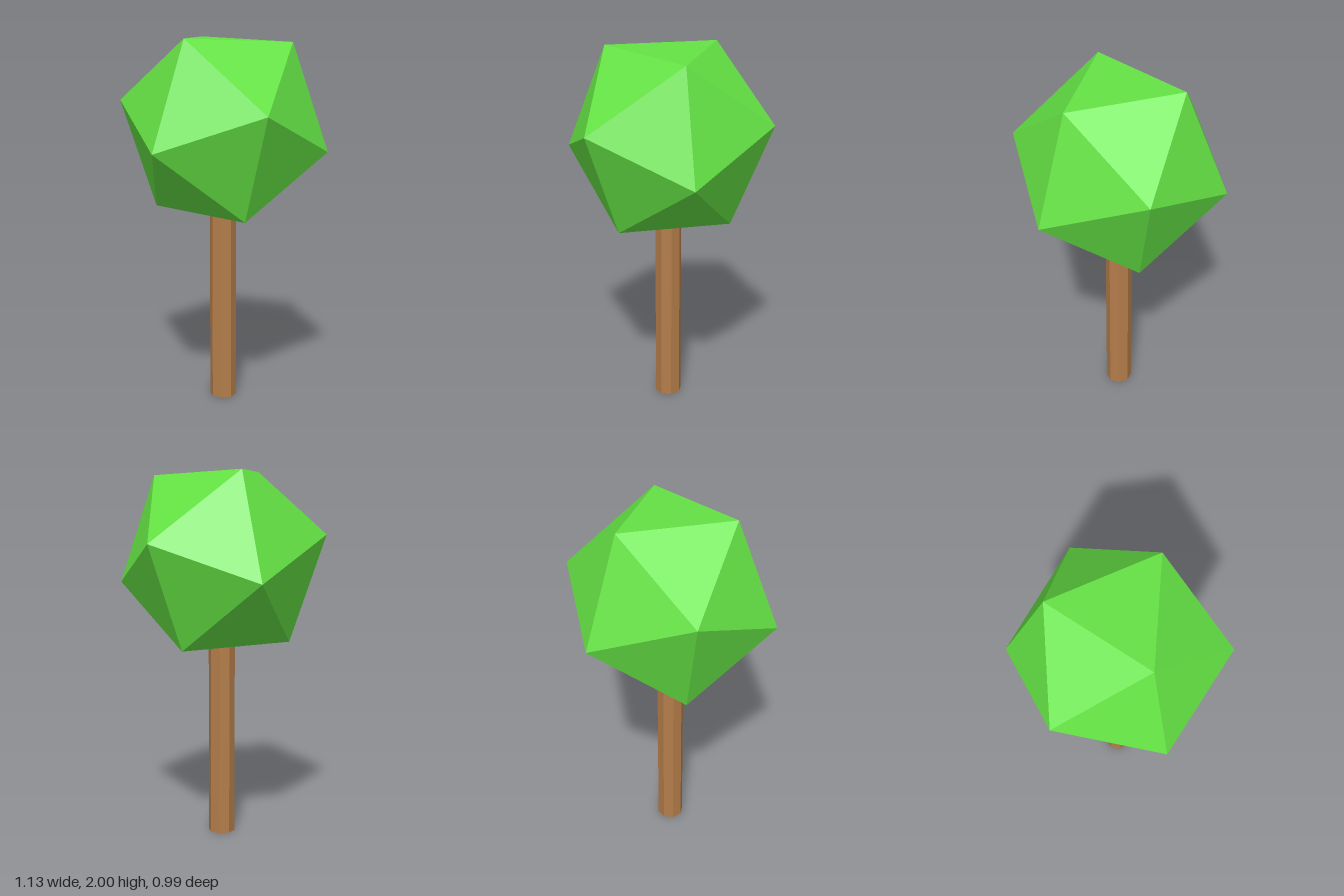
import * as THREE from 'three';

export function createModel() {
  const tree = new THREE.Group();
  tree.name = 'tree';

  const bark = new THREE.MeshStandardMaterial({ color: 0xb47d4a, flatShading: true });
  bark.name = 'bark brown';
  const leaves = new THREE.MeshStandardMaterial({ color: 0x64e244, flatShading: true });
  leaves.name = 'leaf green';

  // Straight eight-sided trunk, ending just inside the foliage
  const trunkHeight = 1.1;
  const trunk = new THREE.Mesh(new THREE.CylinderGeometry(0.073, 0.073, trunkHeight, 8), bark);
  trunk.name = 'trunk';
  trunk.position.y = trunkHeight / 2;
  tree.add(trunk);

  // Faceted ball of foliage, tilted in the front plane
  const foliage = new THREE.Mesh(new THREE.IcosahedronGeometry(0.582, 0), leaves);
  foliage.name = 'foliage';
  foliage.position.y = 1.531;
  foliage.rotation.z = THREE.MathUtils.degToRad(108.5);
  tree.add(foliage);

  return tree;
}
